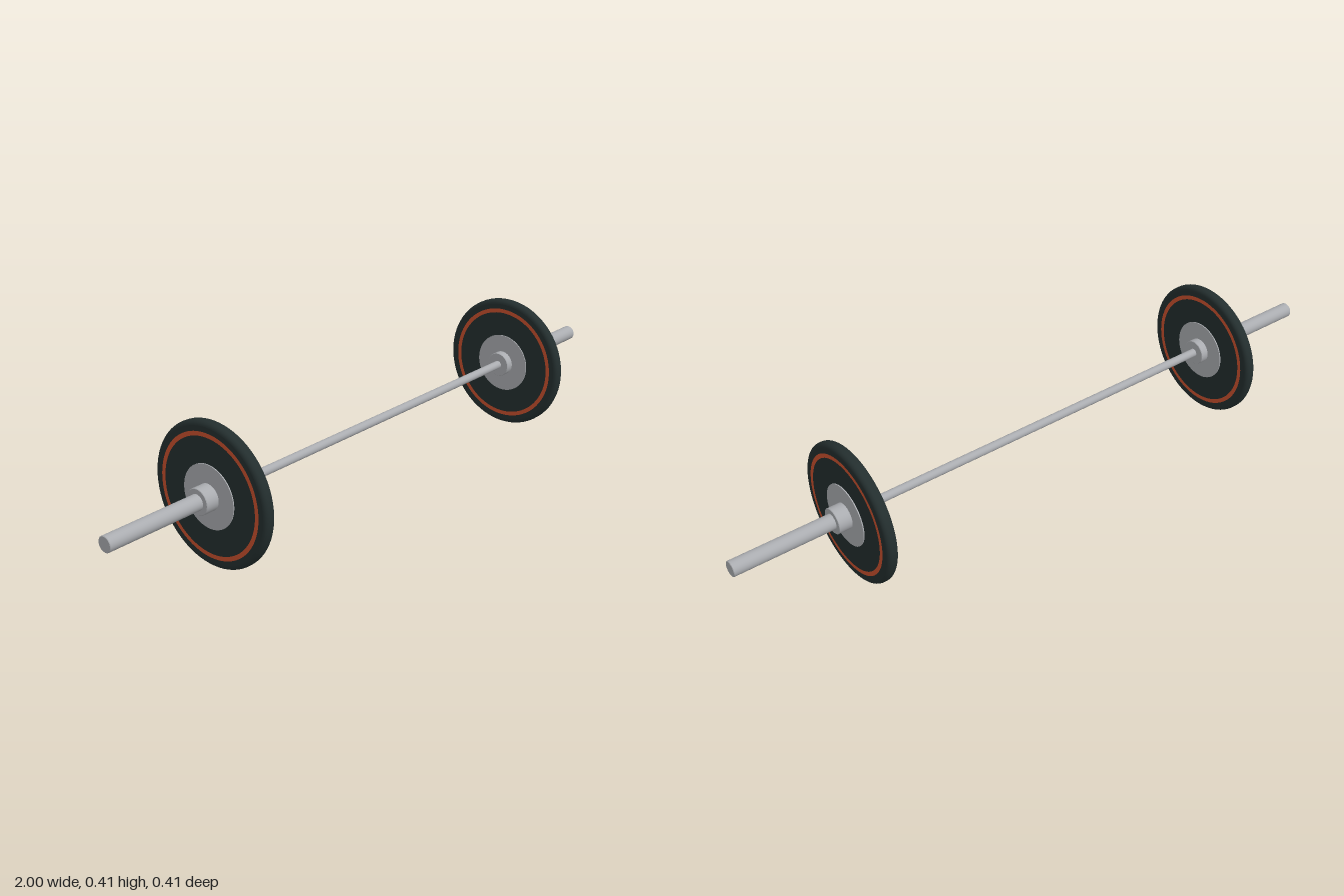
import * as THREE from 'three';

const AXIS_Y = 0.205;

export function createModel() {
  const steel = new THREE.MeshStandardMaterial({ name: 'steel', color: 0xaaacb0 });
  const rubber = new THREE.MeshStandardMaterial({ name: 'darkRubber', color: 0x232e2e });
  const orange = new THREE.MeshStandardMaterial({ name: 'orangeStripe', color: 0xc8502d });

  const barbell = new THREE.Group();
  barbell.name = 'barbell';

  // Solid of revolution along x from [radius, x] points. Each span between
  // points is its own lathe band, so edges stay crisp and rounds stay smooth.
  function turned(name, spans, material, segments, parent) {
    const part = new THREE.Group();
    part.name = name;
    for (const span of spans) {
      const geometry = new THREE.LatheGeometry(span.map(([r, x]) => new THREE.Vector2(r, x)), segments);
      geometry.rotateZ(-Math.PI / 2);
      const mesh = new THREE.Mesh(geometry, material);
      mesh.name = name + 'Surface';
      part.add(mesh);
    }
    parent.add(part);
  }

  // Bevelled round rod between x0 and x1
  function rod(name, radius, x0, x1, bevel, parent) {
    const r = radius - bevel;
    turned(name, [
      [[0, x0], [r, x0]],
      [[r, x0], [radius, x0 + bevel]],
      [[radius, x0 + bevel], [radius, x1 - bevel]],
      [[radius, x1 - bevel], [r, x1]],
      [[r, x1], [0, x1]],
    ], steel, 40, parent);
  }

  // Thin centre grip
  rod('gripShaft', 0.0125, -0.61, 0.61, 0.001, barbell);

  // Rounded tyre corner, running from the rim to a face
  const R = 0.204, HALF = 0.017, ROUND = 0.013;
  const corner = (from, to) => Array.from({ length: 7 }, (_, i) => {
    const a = from + (to - from) * i / 6;
    return [R - ROUND + ROUND * Math.cos(a), Math.sin(a) * ROUND + Math.sign(from + to) * (HALF - ROUND)];
  });

  for (const [side, label] of [[1, 'left'], [-1, 'right']]) {
    const end = new THREE.Group();
    end.name = label + 'End';
    end.rotation.y = side > 0 ? 0 : Math.PI;
    barbell.add(end);

    // Loading sleeve and the collar that passes through the plate
    rod('sleeve', 0.0225, 0.69, 1, 0.0015, end);
    rod('collar', 0.0375, 0.596, 0.7, 0.0015, end);

    // Weight plate
    const plate = new THREE.Group();
    plate.name = 'weightPlate';
    plate.position.x = 0.64;
    end.add(plate);
    turned('rubberDisc', [
      [[0, -HALF], [R - ROUND, -HALF]],
      [...corner(-Math.PI / 2, 0), ...corner(0, Math.PI / 2)],
      [[R - ROUND, HALF], [0, HALF]],
    ], rubber, 72, plate);

    // Steel hub, slightly proud of both faces
    const hub = HALF + 0.003;
    turned('hub', [
      [[0, -hub], [0.0905, -hub]],
      [[0.0905, -hub], [0.0905, hub]],
      [[0.0905, hub], [0, hub]],
    ], steel, 64, plate);

    // Painted stripe on each face
    for (const face of [1, -1]) {
      const stripe = new THREE.Mesh(new THREE.RingGeometry(0.164, 0.1765, 72), orange);
      stripe.name = 'stripe';
      stripe.rotation.y = face * Math.PI / 2;
      stripe.position.x = face * (HALF + 0.001);
      plate.add(stripe);
    }
  }

  barbell.position.y = AXIS_Y;
  const model = new THREE.Group();
  model.name = 'barbellModel';
  model.add(barbell);
  return model;
}
